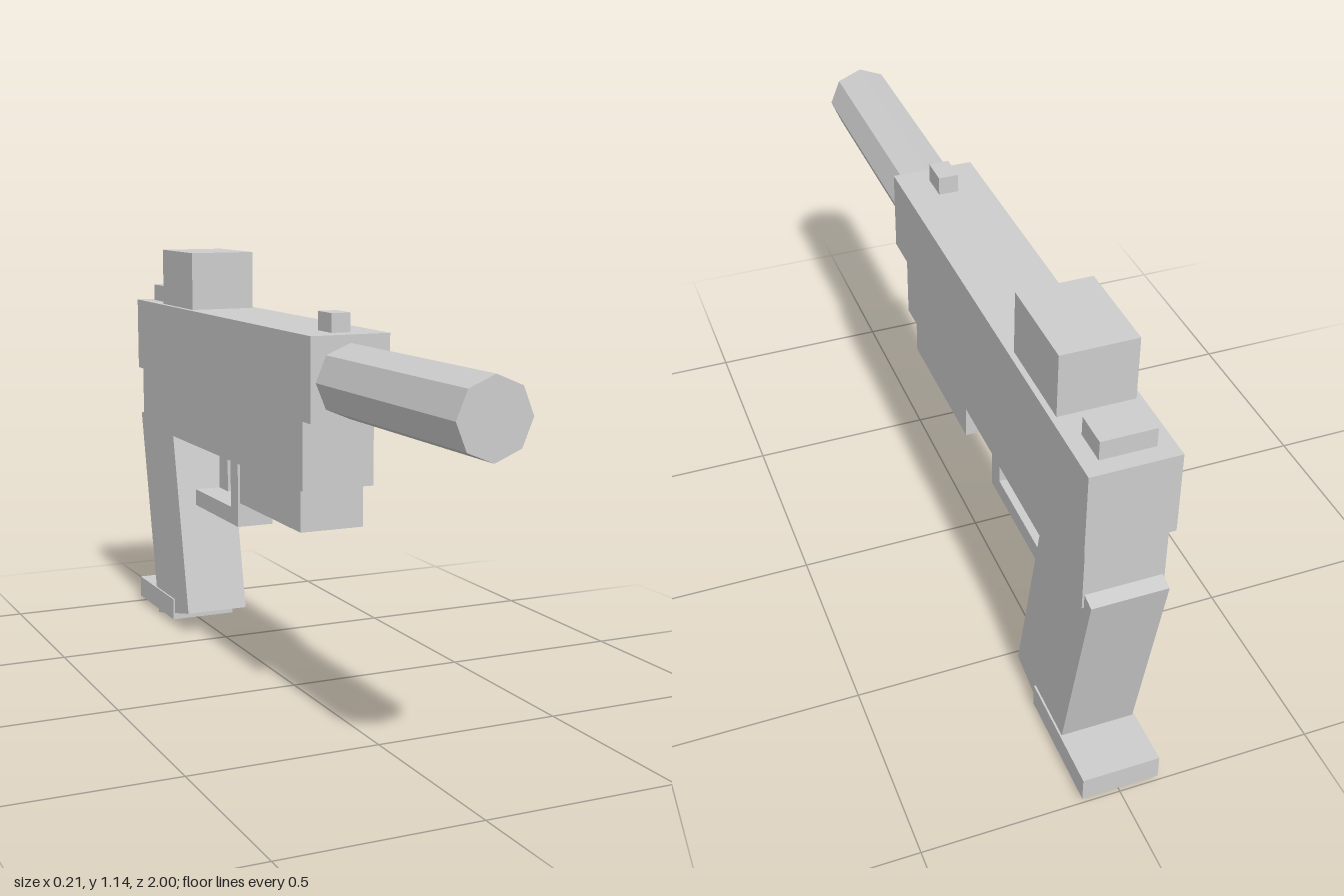
import * as THREE from 'three';

export function createModel() {
  const group = new THREE.Group();
  const grey = new THREE.MeshStandardMaterial({ color: 0xcccccc });
  grey.name = 'light grey';

  const add = (name, geometry) => {
    const mesh = new THREE.Mesh(geometry, grey);
    mesh.name = name;
    group.add(mesh);
    return mesh;
  };

  // Box centred on x, given half width and its y and z ranges
  const block = (name, halfWidth, y0, y1, z0, z1) =>
    add(name, new THREE.BoxGeometry(2 * halfWidth, y1 - y0, z1 - z0))
      .position.set(0, (y0 + y1) / 2, (z0 + z1) / 2);

  // Side outline of [z, y] points, extruded across x
  const sideProfile = (name, halfWidth, points) => {
    const shape = new THREE.Shape(points.map(([z, y]) => new THREE.Vector2(-z, y)));
    const geometry = new THREE.ExtrudeGeometry(shape, { depth: 2 * halfWidth, bevelEnabled: false });
    geometry.translate(0, 0, -halfWidth).rotateY(Math.PI / 2);
    return add(name, geometry);
  };

  // Main body
  block('slide', 0.107, 0.77, 0.982, -0.953, 0.332);
  block('frame', 0.098, 0.592, 0.77, -0.937, 0.267);
  block('underRail', 0.087, 0.48, 0.592, -0.167, 0.232);

  // Eight-sided barrel with a corner at the top
  const barrel = new THREE.CylinderGeometry(0.093, 0.093, 0.72, 8).toNonIndexed();
  barrel.computeVertexNormals();
  barrel.rotateX(Math.PI / 2);
  add('barrel', barrel).position.set(0, 0.869, 0.64);

  // Sights
  block('opticBlock', 0.093, 0.982, 1.143, -0.75, -0.503);
  block('frontSight', 0.026, 0.982, 1.03, 0.2, 0.278);
  block('rearSight', 0.066, 0.982, 1.03, -0.91, -0.822);

  // L-shaped guard and trigger
  sideProfile('triggerGuard', 0.053, [
    [-0.267, 0.592], [-0.267, 0.39], [-0.6, 0.39],
    [-0.6, 0.438], [-0.32, 0.438], [-0.32, 0.592],
  ]);
  block('trigger', 0.03, 0.466, 0.592, -0.465, -0.4);

  // Slanted grip and its base plate
  sideProfile('grip', 0.093, [
    [-0.57, 0.064], [-0.84, 0], [-0.974, 0.622], [-0.704, 0.686],
  ]);
  block('basePlate', 0.098, 0.016, 0.08, -1, -0.69);

  return group;
}
